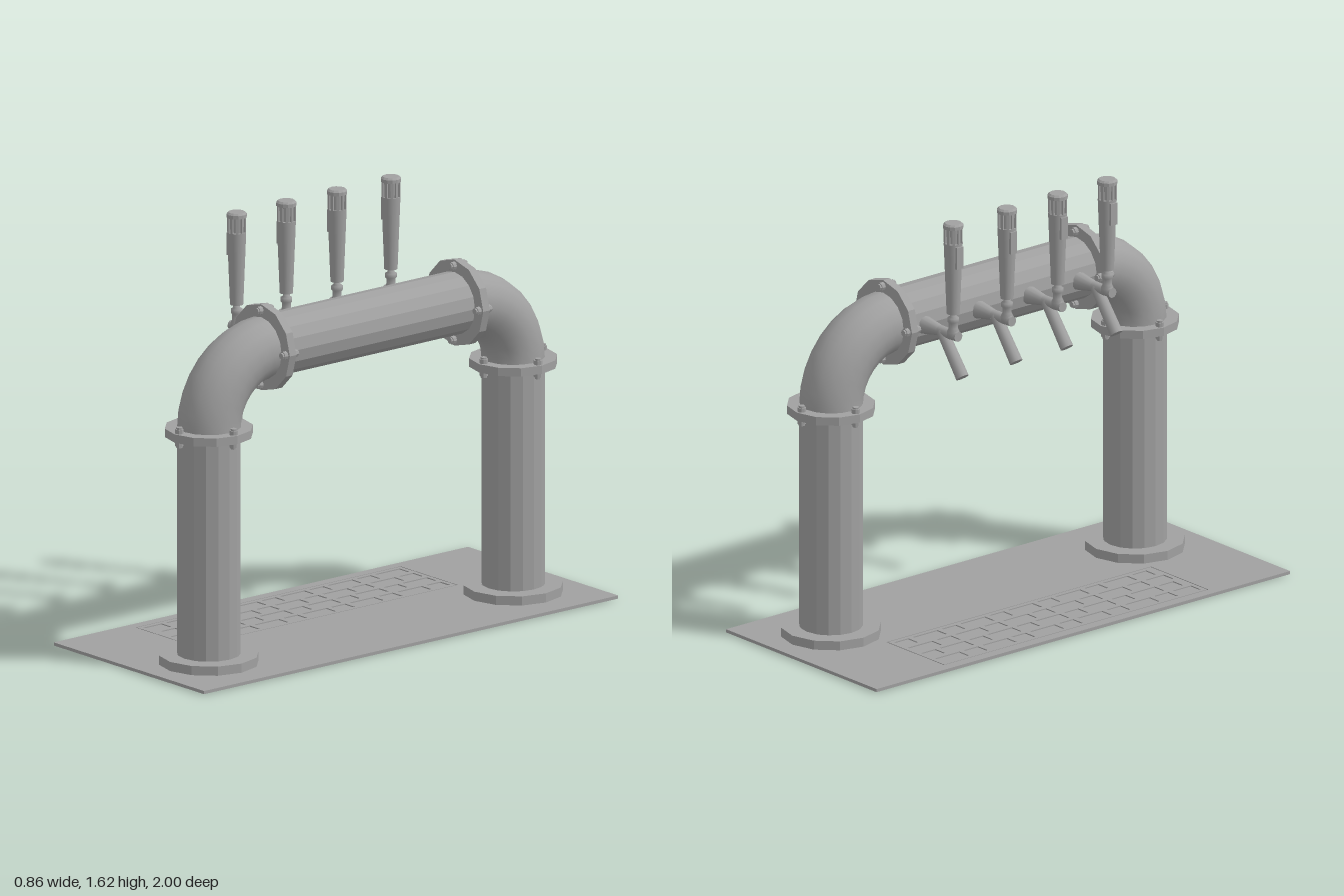
import * as THREE from 'three';

const PIPE_X = 0.143, PIPE_R = 0.118, LEG_Z = 0.735, BEND = 0.268, AXIS_Y = 1.177;
const BEND_Y = AXIS_Y - BEND, BEND_Z = LEG_Z - BEND;

// Dark steel
const STEEL = 0xa0a0a0;
const smooth = new THREE.MeshStandardMaterial({ color: STEEL });
const flat = new THREE.MeshStandardMaterial({ color: STEEL, flatShading: true });
const open = new THREE.MeshStandardMaterial({ color: STEEL, side: THREE.DoubleSide });
const openFlat = new THREE.MeshStandardMaterial({ color: STEEL, side: THREE.DoubleSide, flatShading: true });

function add(parent, name, geometry, material, x = 0, y = 0, z = 0) {
  const mesh = new THREE.Mesh(geometry, material);
  mesh.name = name;
  mesh.position.set(x, y, z);
  parent.add(mesh);
  return mesh;
}

// Rectangle in plan: shape coordinates are (x, -z)
function rect(Type, x0, x1, z0, z1) {
  return new Type([[x0, -z1], [x1, -z1], [x1, -z0], [x0, -z0]].map(p => new THREE.Vector2(...p)));
}

// Horizontal slab extruded from a plan shape between two heights
function slab(parent, name, shape, y0, y1) {
  const g = new THREE.ExtrudeGeometry(shape, { depth: y1 - y0, bevelEnabled: false, curveSegments: 16 });
  g.rotateX(-Math.PI / 2);
  return add(parent, name, g, flat, 0, y0, 0);
}

// Rod between two points, with separate end radii
function rod(parent, name, a, b, ra, rb) {
  const dir = b.clone().sub(a);
  const m = add(parent, name, new THREE.CylinderGeometry(rb, ra, dir.length(), 12), smooth);
  m.position.copy(a).addScaledVector(dir, 0.5);
  m.quaternion.setFromUnitVectors(new THREE.Vector3(0, 1, 0), dir.normalize());
  return m;
}

// Counter plate with an inset drip grate
function makeTray() {
  const tray = new THREE.Group();
  tray.name = 'dripTray';
  const X0 = -0.39, X1 = -0.06, Z = 0.64;
  const plate = rect(THREE.Shape, -0.43, 0.43, -1, 1);
  for (const s of [1, -1]) {
    const hole = new THREE.Path();
    hole.absarc(PIPE_X, -s * LEG_Z, PIPE_R, 0, Math.PI * 2, true);
    plate.holes.push(hole);
  }
  plate.holes.push(rect(THREE.Path, X0, X1, -Z, Z));
  slab(tray, 'plate', plate, 0.003, 0.015);
  slab(tray, 'grateFloor', rect(THREE.Shape, X0, X1, -Z, Z), 0.007, 0.011);

  // Grate with long and short slots, staggered row by row
  const gap = 0.022, rows = 4, pad = 0.01;
  const grate = rect(THREE.Shape, X0 + 0.004, X1 - 0.004, -Z + 0.004, Z - 0.004);
  const pitch = (X1 - X0 - 2 * pad) / rows;
  for (let r = 0; r < rows; r++) {
    const x = X0 + pad + r * pitch;
    let z = -Z + pad, i = r;
    while (z < Z - pad - 0.03) {
      const end = Math.min(z + (i++ % 2 ? 0.09 : 0.14), Z - pad);
      grate.holes.push(rect(THREE.Path, x + gap / 2, x + pitch - gap / 2, z + gap / 2, end - gap / 2));
      z = end;
    }
  }
  slab(tray, 'grate', grate, 0.003, 0.015);
  return tray;
}

// Bolted collar lying flat, with its axis along y
function makeFlange() {
  const flange = new THREE.Group();
  flange.name = 'boltedFlange';
  add(flange, 'flangeDisc', new THREE.CylinderGeometry(0.165, 0.165, 0.032, 12), flat);
  for (let i = 0; i < 4; i++) {
    const a = i * Math.PI / 2, x = 0.142 * Math.cos(a), z = 0.142 * Math.sin(a);
    for (const s of [1, -1]) {
      add(flange, 'boltHead', new THREE.CylinderGeometry(0.016, 0.016, 0.016, 8), flat, x, s * 0.024, z);
      add(flange, 'boltEnd', new THREE.CylinderGeometry(0.012, 0.012, 0.008, 8), flat, x, s * 0.035, z);
    }
  }
  return flange;
}

// Leg, base ring, elbow and flanges for one end (s = +1 or -1)
function makeSide(s) {
  const side = new THREE.Group();
  side.name = s > 0 ? 'frontSide' : 'backSide';
  add(side, 'leg', new THREE.CylinderGeometry(PIPE_R, PIPE_R, BEND_Y, 16, 1, true), openFlat,
    PIPE_X, BEND_Y / 2, s * LEG_Z);
  const ring = [[PIPE_R, 0], [0.187, 0], [0.187, 0.05], [PIPE_R, 0.05]].map(p => new THREE.Vector2(...p));
  add(side, 'baseRing', new THREE.LatheGeometry(ring, 12), flat, PIPE_X, 0, s * LEG_Z);

  const elbow = add(side, 'elbow', new THREE.TorusGeometry(BEND, PIPE_R, 16, 8, Math.PI / 2), open,
    PIPE_X, BEND_Y, s * BEND_Z);
  elbow.rotation.y = -s * Math.PI / 2;

  const low = makeFlange();
  low.position.set(PIPE_X, BEND_Y - 0.006, s * LEG_Z);
  const high = makeFlange();
  high.position.set(PIPE_X, AXIS_Y, s * BEND_Z);
  high.rotation.x = Math.PI / 2;
  side.add(low, high);
  return side;
}

// Tap with shank, spout, valve and tall handle
function makeTap(z) {
  const tap = new THREE.Group();
  tap.name = 'tap';
  tap.position.z = z;
  const v = (x, y) => new THREE.Vector3(x, y, 0);
  const HX = -0.13;
  rod(tap, 'shankFlare', v(0.04, 1.172), v(-0.055, 1.175), 0.036, 0.02);
  rod(tap, 'shank', v(-0.05, 1.175), v(-0.16, 1.177), 0.02, 0.019);
  rod(tap, 'spout', v(-0.065, 1.178), v(-0.183, 1.024), 0.022, 0.025);

  // Valve stem and collar
  const stem = [[0, 1.165], [0.022, 1.165], [0.024, 1.19], [0.017, 1.205], [0.017, 1.225],
    [0.022, 1.23], [0.022, 1.245], [0.013, 1.25], [0.013, 1.27], [0, 1.27]];
  add(tap, 'valveStem', new THREE.LatheGeometry(stem.map(p => new THREE.Vector2(...p)), 12), smooth, HX);

  // Tapered grip, ribbed crown and cap
  rod(tap, 'handleGrip', v(HX, 1.262), v(HX, 1.54), 0.025, 0.036);
  rod(tap, 'crownCore', v(HX, 1.535), v(HX, 1.6), 0.028, 0.03);
  for (let i = 0; i < 10; i++) {
    const a = i * Math.PI / 5;
    const rib = add(tap, 'crownRib', new THREE.BoxGeometry(0.01, 0.06, 0.009), flat,
      HX + 0.03 * Math.cos(a), 1.57, 0.03 * Math.sin(a));
    rib.rotation.y = -a;
  }
  const cap = [[0, 1.597], [0.038, 1.597], [0.038, 1.61], [0.031, 1.617], [0, 1.617]];
  add(tap, 'handleCap', new THREE.LatheGeometry(cap.map(p => new THREE.Vector2(...p)), 12), flat, HX);
  add(tap, 'handlePlate', new THREE.BoxGeometry(0.012, 0.085, 0.03), flat, HX - 0.034, 1.488);
  return tap;
}

export function createModel() {
  const model = new THREE.Group();
  model.name = 'tapTower';
  model.add(makeTray(), makeSide(1), makeSide(-1));

  // Crossbar between the elbows
  const bar = add(model, 'crossbar', new THREE.CylinderGeometry(PIPE_R, PIPE_R, BEND_Z * 2, 16, 1, true),
    openFlat, PIPE_X, AXIS_Y, 0);
  bar.rotation.x = Math.PI / 2;

  for (const z of [0.37, 0.13, -0.115, -0.375]) model.add(makeTap(z));
  return model;
}
